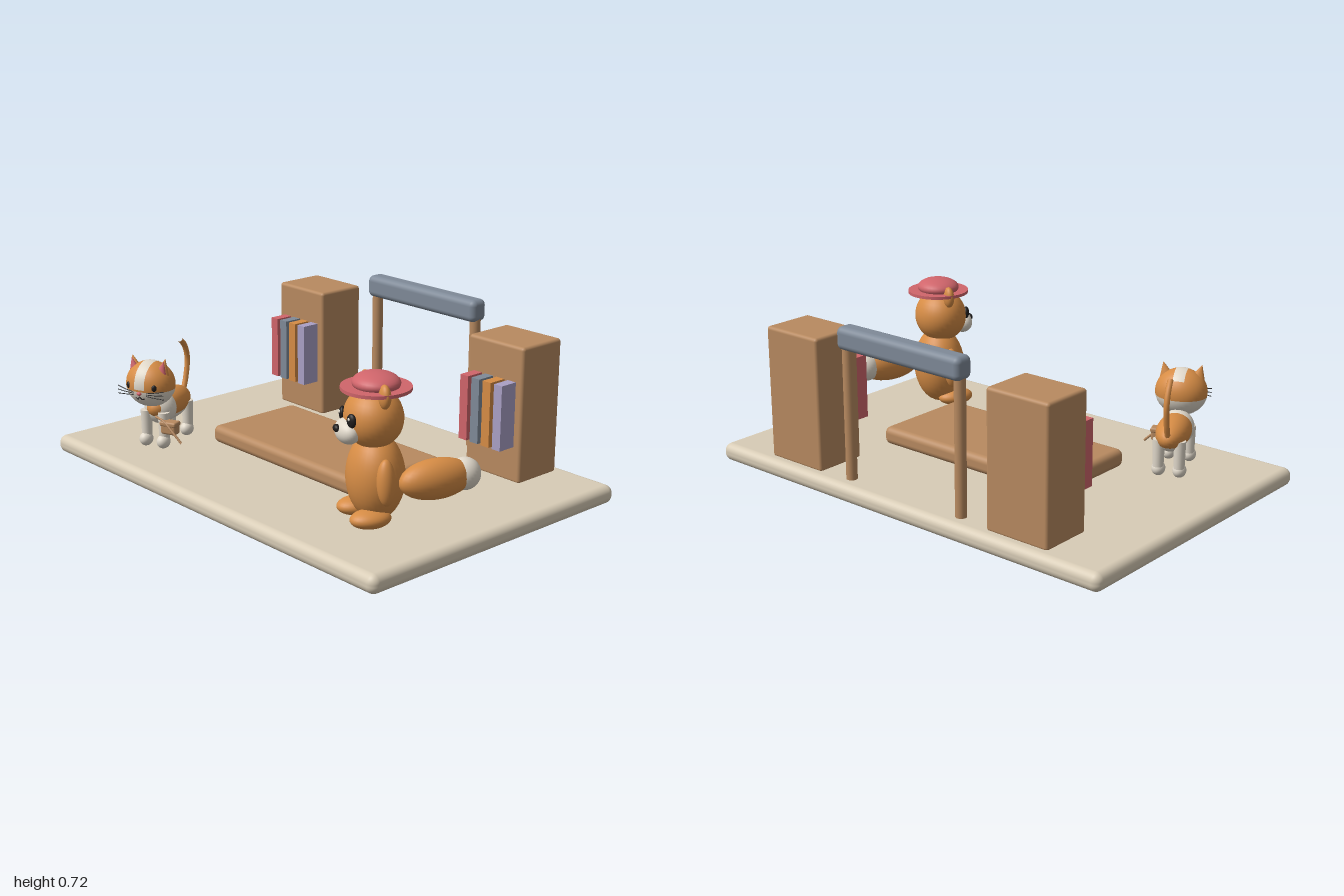
import * as THREE from 'three';
import { RoundedBoxGeometry } from 'three/addons/geometries/RoundedBoxGeometry.js';

const paint = (name, color) => {
  const m = new THREE.MeshStandardMaterial({ color });
  m.name = name;
  return m;
};

export function createModel() {
  const cream = paint('cream', 0xd8ccb6), wood = paint('wood', 0xb88a60), slate = paint('slate', 0x7f8a98);
  const red = paint('red', 0xd0656b), orange = paint('orange', 0xd68c45), lavender = paint('lavender', 0xaaa0c6);
  const white = paint('white', 0xe0d8ca), black = paint('black', 0x1f1d1d);

  const root = new THREE.Group();
  root.name = 'libraryScene';
  const group = (name, x, z, yaw) => {
    const g = new THREE.Group();
    g.name = name;
    g.position.set(x, 0, z);
    g.rotation.y = yaw;
    root.add(g);
    return g;
  };
  const add = (parent, name, geometry, material, pos = [0, 0, 0], rot = [0, 0, 0]) => {
    const mesh = new THREE.Mesh(geometry, material);
    mesh.name = name;
    mesh.position.set(...pos);
    mesh.rotation.set(...rot);
    parent.add(mesh);
    return mesh;
  };
  const ball = (parent, name, material, pos, radii, rot) =>
    add(parent, name, new THREE.SphereGeometry(1, 32, 20), material, pos, rot).scale.set(...radii);
  // rounded box given by its min and max corners
  const block = (parent, name, material, a, b, r) =>
    add(parent, name, new RoundedBoxGeometry(b[0] - a[0], b[1] - a[1], b[2] - a[2], 4, r), material,
      a.map((v, i) => (v + b[i]) / 2));
  const tube = (parent, name, material, points, r) =>
    add(parent, name, new THREE.TubeGeometry(
      new THREE.CatmullRomCurve3(points.map(p => new THREE.Vector3(...p))), 20, r, 8), material);

  // Floor and low platform
  block(root, 'floor', cream, [-1, 0, -0.665], [1, 0.077, 0.665], 0.034);
  block(root, 'platform', wood, [-0.468, 0.08, -0.23], [0.465, 0.157, 0.222], 0.028);

  // Bookcases with four books each
  for (const s of [-1, 1]) {
    const x = s * 0.587;
    block(root, 'bookcase', wood, [x - 0.146, 0.07, -0.615], [x + 0.146, 0.637, -0.388], 0.014);
    [red, slate, orange, lavender].forEach((m, i) =>
      add(root, 'book', new THREE.BoxGeometry(0.042, 0.27, 0.1), m, [x - 0.09 + i * 0.06, 0.357, -0.357]));
  }

  // Archway
  for (const s of [-1, 1])
    add(root, 'archPost', new THREE.CylinderGeometry(0.023, 0.023, 0.58, 24), wood, [s * 0.293, 0.355, -0.585]);
  block(root, 'archBeam', slate, [-0.322, 0.623, -0.627], [0.32, 0.718, -0.543], 0.026);

  // Sitting animal with a hat
  const bear = group('hattedAnimal', 0.64, 0.315, -0.4);
  ball(bear, 'body', orange, [0, 0.265, 0], [0.128, 0.17, 0.11]);
  ball(bear, 'head', orange, [0, 0.495, 0.01], [0.123, 0.116, 0.112]);
  ball(bear, 'muzzle', white, [0, 0.452, 0.11], [0.07, 0.048, 0.046]);
  ball(bear, 'nose', black, [0, 0.467, 0.153], [0.02, 0.015, 0.013]);
  for (const s of [-1, 1]) {
    ball(bear, 'arm', orange, [s * 0.125, 0.28, 0.005], [0.033, 0.088, 0.036], [0, 0, s * 0.1]);
    ball(bear, 'foot', orange, [s * 0.073, 0.126, 0.045], [0.057, 0.036, 0.08]);
    ball(bear, 'ear', orange, [s * 0.1, 0.6, 0.005], [0.034, 0.046, 0.022]);
    ball(bear, 'eye', black, [s * 0.05, 0.505, 0.113], [0.022, 0.027, 0.013], [0, s * 0.4, 0]);
    ball(bear, 'eyeGlint', white, [s * 0.05 + 0.006, 0.514, 0.126], [0.006, 0.006, 0.004]);
  }
  add(bear, 'hatBrim', new THREE.CylinderGeometry(0.133, 0.133, 0.013, 40), red, [0, 0.608, 0]);
  ball(bear, 'hatCrown', red, [0, 0.627, 0], [0.097, 0.04, 0.09]);
  ball(root, 'bushyTail', orange, [0.818, 0.267, 0.175], [0.07, 0.078, 0.152], [0, -0.3, 0]);
  ball(root, 'tailTip', white, [0.852, 0.268, 0.06], [0.058, 0.063, 0.063], [0, -0.3, 0]);

  // Standing cat
  const cat = group('cat', -0.63, 0.335, 0.38);
  ball(cat, 'body', orange, [0, 0.245, -0.01], [0.07, 0.065, 0.138]);
  ball(cat, 'chest', white, [0, 0.24, 0.055], [0.071, 0.072, 0.062]);
  ball(cat, 'belly', white, [0, 0.222, -0.01], [0.06, 0.05, 0.12]);
  for (const s of [-1, 1])
    for (const z of [0.1, -0.09]) {
      add(cat, 'leg', new THREE.CylinderGeometry(0.025, 0.022, 0.13, 20), white, [s * 0.043, 0.17, z]);
      ball(cat, 'paw', white, [s * 0.043, 0.107, z + 0.008], [0.028, 0.03, 0.033]);
    }
  tube(cat, 'tail', orange, [[0, 0.26, -0.13], [0, 0.32, -0.155], [0, 0.4, -0.17],
    [0, 0.46, -0.15], [0, 0.495, -0.115]], 0.012);

  // Cat head: orange cap, white lower face, white stripe over the crown
  const head = new THREE.Group();
  head.name = 'catHead';
  head.position.set(0.005, 0.368, 0.132);
  cat.add(head);
  const size = [0.108, 0.098, 0.092], split = Math.PI * 0.55;
  add(head, 'headCap', new THREE.SphereGeometry(1, 32, 16, 0, Math.PI * 2, 0, split), orange).scale.set(...size);
  add(head, 'lowerFace', new THREE.SphereGeometry(1, 32, 14, 0, Math.PI * 2, split, Math.PI - split), white)
    .scale.set(...size);
  const stripe = new THREE.SphereGeometry(1.015, 24, 6, Math.PI * 0.48, Math.PI * 0.8, Math.PI / 2 - 0.22, 0.44);
  stripe.rotateZ(Math.PI / 2);
  add(head, 'foreheadStripe', stripe, white).scale.set(...size);
  ball(head, 'nose', red, [0, -0.022, 0.092], [0.011, 0.008, 0.008]);
  tube(head, 'mouth', black, [[-0.022, -0.042, 0.083], [-0.01, -0.048, 0.084], [0, -0.036, 0.089],
    [0.01, -0.048, 0.084], [0.022, -0.042, 0.083]], 0.002);
  for (const s of [-1, 1]) {
    ball(head, 'eye', black, [s * 0.062, 0.004, 0.073], [0.011, 0.014, 0.008], [0, s * 0.6, 0]);
    add(head, 'ear', new THREE.ConeGeometry(0.033, 0.07, 20), orange, [s * 0.072, 0.084, 0.008], [0, 0, -s * 0.25])
      .scale.z = 0.6;
    add(head, 'innerEar', new THREE.ConeGeometry(0.023, 0.052, 20), red, [s * 0.072, 0.083, 0.018], [0, 0, -s * 0.25])
      .scale.z = 0.6;
    for (const k of [-1, 0, 1])
      tube(head, 'whisker', black, [[s * 0.03, -0.025 + k * 0.006, 0.085],
        [s * 0.07, -0.022 + k * 0.011, 0.086], [s * 0.112, -0.02 + k * 0.017, 0.078]], 0.0018);
  }

  // Small satchel at the cat's side
  const bag = group('satchel', -0.51, 0.412, 0.38);
  block(bag, 'bagBody', wood, [-0.036, 0.15, -0.022], [0.036, 0.198, 0.022], 0.01);
  block(bag, 'bagFlap', wood, [-0.039, 0.185, -0.025], [0.039, 0.207, 0.025], 0.008);
  tube(bag, 'strap', wood, [[-0.07, 0.215, 0], [-0.02, 0.207, 0.018], [0.03, 0.17, 0.03], [0.075, 0.128, 0.035]], 0.005);

  return root;
}
